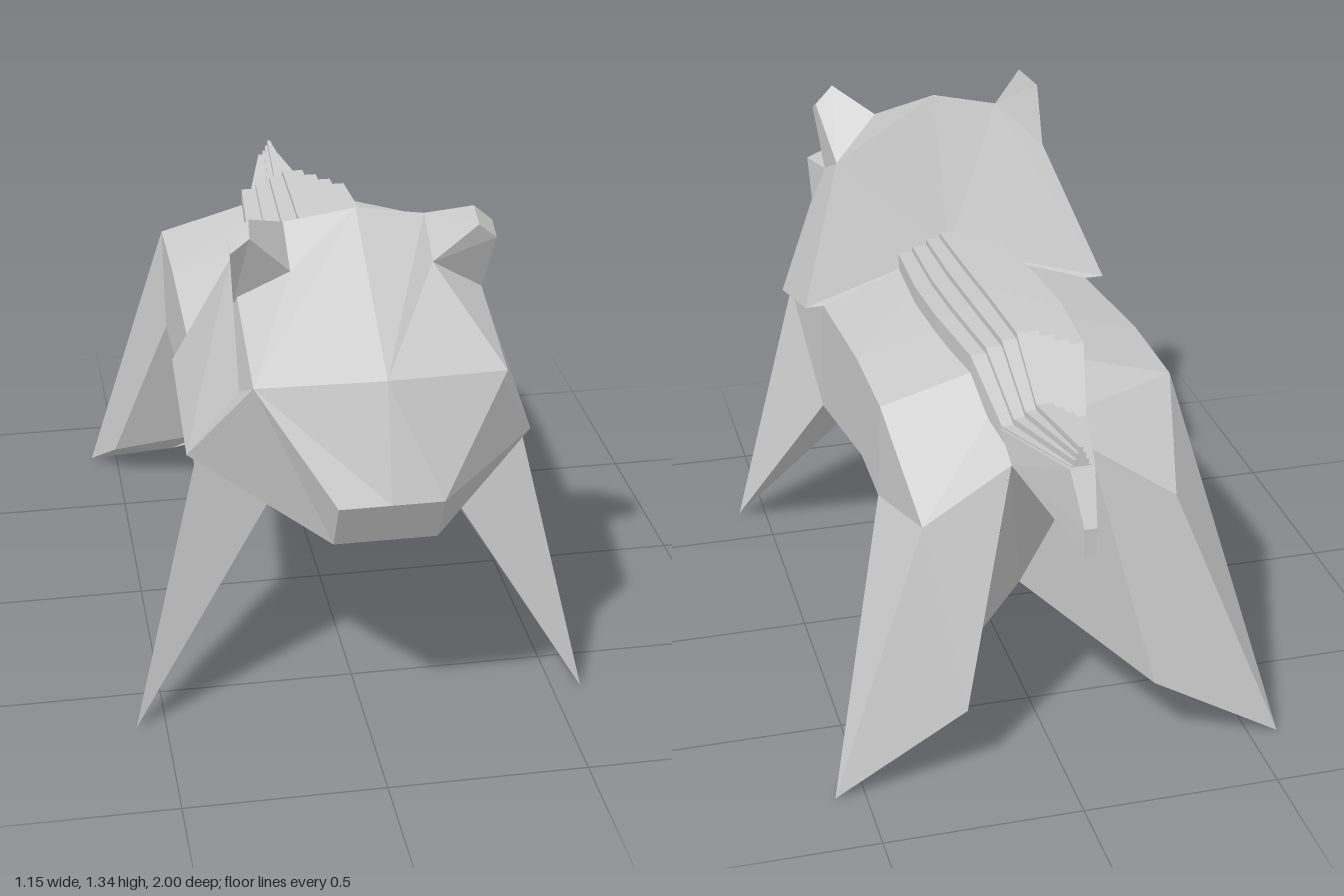
import * as THREE from 'three';

const material = new THREE.MeshStandardMaterial({ color: 0xcccccc, flatShading: true, side: THREE.DoubleSide });
const flip = ([x, y, z]) => [-x, y, z];

// Facets of the left half (corners counter-clockwise from outside), mirrored to the right half
function facets(name, faces, mirror = true) {
  const out = [];
  const fan = (f) => {
    for (let i = 1; i < f.length - 1; i++) out.push(...f[0], ...f[i], ...f[i + 1]);
  };
  for (const f of faces) {
    fan(f);
    if (mirror) fan(f.map(flip).reverse());
  }
  const geometry = new THREE.BufferGeometry();
  geometry.setAttribute('position', new THREE.Float32BufferAttribute(out, 3));
  geometry.computeVertexNormals();
  const mesh = new THREE.Mesh(geometry, material);
  mesh.name = name;
  return mesh;
}

// Point on the centre line beside p
const mid = ([, y, z]) => [0, y, z];

export function createModel() {
  const model = new THREE.Group();
  model.name = 'animal';

  // Back ridge, flank and belly points
  const s0 = [0, 0.925, 0.345], s1 = [0, 0.972, -0.18], s2 = [0, 0.985, -0.455], s3 = [0, 0.865, -0.61];
  const h0 = [0.37, 0.83, 0.27], h1 = [0.37, 0.88, -0.18], h2 = [0.37, 0.88, -0.455];
  const elbow = [0.37, 0.5, 0.32], flank = [0.37, 0.62, -0.21], groin = [0.37, 0.61, -0.41];
  const keel0 = [0, 0.465, 0.33], keel1 = [0, 0.385, -0.23], crotch = [0, 0.295, -0.4];
  const hip = [0.32, 0.66, -0.68], rump = [0.1, 0.8, -0.68];

  // Front leg points
  const shoulder = [0.4, 0.74, 0.6], breast = [0.17, 0.67, 0.57], armpit = [0.265, 0.465, 0.36];
  const frontFoot = [0.575, 0, 0.65];

  // Hind leg points
  const hindFoot = [0.575, 0, -0.8], heel = [0.24, 0.2, -0.8];
  const toeOut = [0.51, 0.09, -0.675], toeIn = [0.34, 0.08, -0.675], thighIn = [0.17, 0.22, -0.545];

  model.add(facets('body', [
    [s0, h0, h1, s1], [s1, h1, h2, s2], [s2, h2, hip, rump, s3], [s3, rump, mid(rump)],
    [shoulder, elbow, h0], [elbow, flank, h1, h0], [flank, groin, h2, h1],
    [elbow, keel0, keel1, flank], [flank, keel1, crotch, groin],
    [breast, mid(breast), keel0, armpit], [elbow, armpit, keel0],
    [crotch, mid(rump), rump],
  ]));

  model.add(facets('frontLegs', [
    [shoulder, frontFoot, elbow], [shoulder, breast, frontFoot],
    [breast, armpit, frontFoot], [armpit, elbow, frontFoot],
  ]));

  model.add(facets('hindLegs', [
    [groin, toeOut, hindFoot, hip, h2], [hip, hindFoot, heel, rump],
    [rump, heel, toeIn, thighIn, crotch], [groin, crotch, thighIn, toeIn, toeOut],
    [toeOut, toeIn, hindFoot], [toeIn, heel, hindFoot],
  ]));

  // Head
  const brow = [0.295, 1.03, 0.857], browMid = [0, 1.06, 0.927];
  const nose = [0.123, 0.78, 1], chin = [0.123, 0.65, 0.93];
  const cheek = [0.31, 0.957, 0.72], jaw = [0.425, 0.737, 0.6], nape = [0.42, 0.83, 0.263];
  const crown = [0, 1.313, 0.51];
  const earIn = [0.17, 1.2, 0.6], earOut = [0.3, 1.11, 0.557], earBack = [0.29, 1.17, 0.434], earTop = [0.17, 1.28, 0.49];
  model.add(facets('head', [
    [browMid, brow, earIn, earTop, crown],
    [browMid, mid(nose), nose, brow],
    [nose, chin, jaw, cheek, brow],
    [earOut, earIn, brow, cheek, jaw, nape, earBack],
    [earBack, nape, s0, crown, earTop],
    [chin, mid(chin), mid(nape), nape, jaw],
    [nape, mid(nape), s0],
  ]));
  model.add(facets('nose', [[mid(nose), mid(chin), chin, nose]]));

  // Ears: a ring at the skull joined to a smaller ring at the tip
  const base = [earIn, earOut, earBack, earTop];
  const tip = [[0.27, 1.305, 0.64], [0.315, 1.265, 0.63], [0.315, 1.29, 0.58], [0.266, 1.335, 0.595]];
  model.add(facets('ears', [
    ...base.map((p, i) => [p, base[(i + 1) % 4], tip[(i + 1) % 4], tip[i]]), tip,
  ]));

  // Tail
  const root = [0.11, 0.865, -0.61], crest = [0.03, 0.91, -0.927];
  const endTop = [0.015, 0.79, -1], endLow = [0.015, 0.72, -1];
  model.add(facets('tail', [
    [rump, endLow, endTop, crest, root], [root, crest, mid(crest), mid(root)],
    [crest, endTop, mid(endTop), mid(crest)], [endTop, endLow, mid(endLow), mid(endTop)],
    [rump, mid(rump), mid(endLow), endLow],
  ]));

  // Mane: stacked tapering layers following the ridge, each [z, ridge height, width factor]
  const path = [
    [0.335, 0.925, 0.88], [0.05, 0.951, 1], [-0.18, 0.972, 1],
    [-0.455, 0.985, 0.87], [-0.61, 0.865, 0.64], [-0.915, 0.905, 0.15],
  ];
  const mane = new THREE.Group();
  mane.name = 'mane';
  [[0.165, 0.006], [0.12, 0.022], [0.075, 0.038], [0.032, 0.053]].forEach(([width, lift], n) => {
    const top = path.map(([z, y, k]) => [width * k, y + lift, z]);
    const low = path.map(([z, y, k]) => [width * k, y - 0.055, z]);
    const faces = [[mid(top[0]), mid(low[0]), low[0], top[0]]];
    for (let i = 0; i < path.length - 1; i++) {
      faces.push([mid(top[i]), top[i], top[i + 1], mid(top[i + 1])]);
      faces.push([low[i], low[i + 1], top[i + 1], top[i]]);
    }
    const e = path.length - 1;
    faces.push([top[e], low[e], mid(low[e]), mid(top[e])]);
    mane.add(facets('maneLayer' + (n + 1), faces));
  });
  model.add(mane);

  return model;
}
